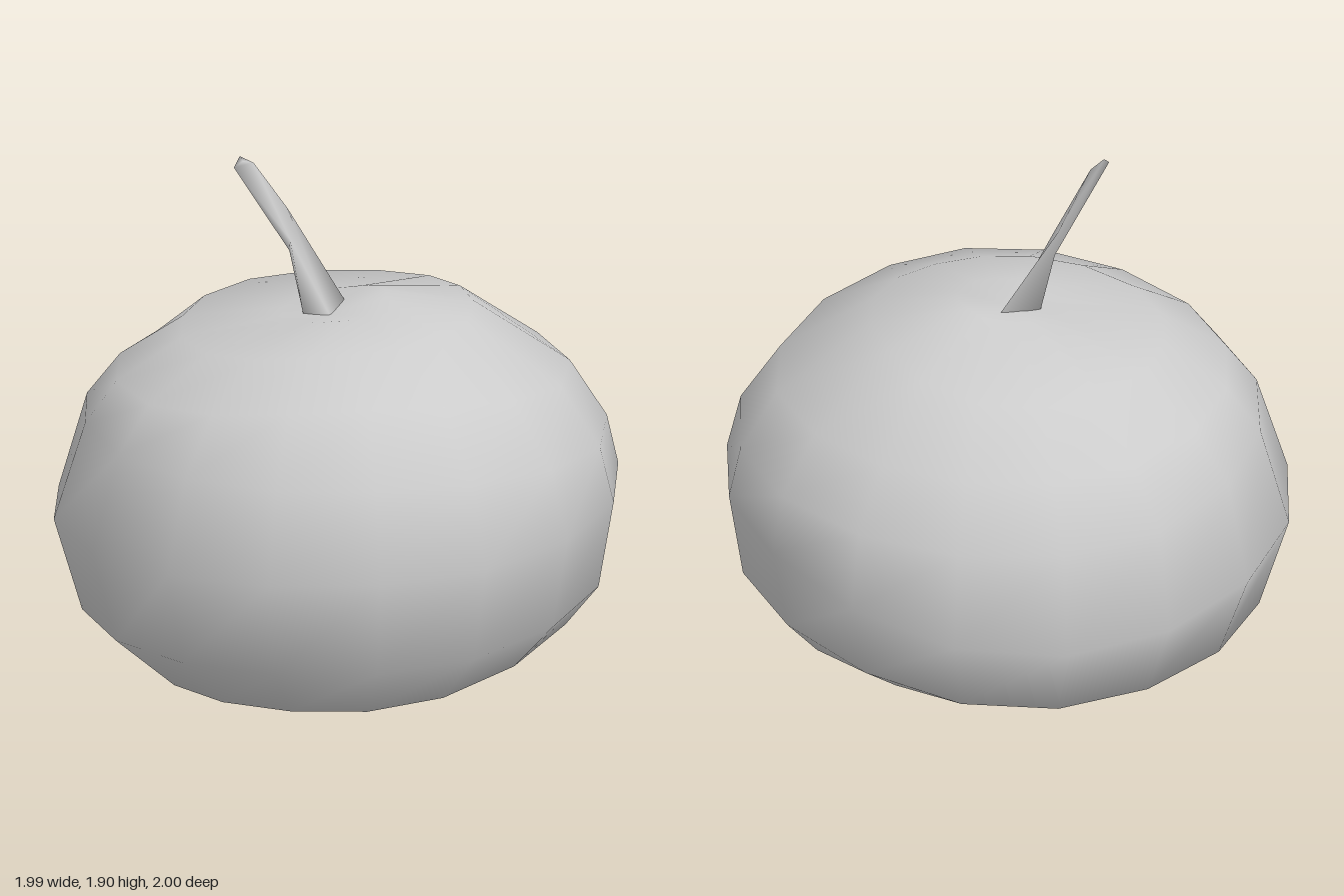
import * as THREE from 'three';

// Smooth skin over rings that run counter-clockwise seen from above, bottom to top.
function skin(rings, bottom, top) {
  const n = rings[0].length;
  const points = [...rings.flat(), bottom, top];
  const index = [];
  const last = (rings.length - 1) * n;
  const low = rings.length * n;
  for (let i = 0; i < n; i++) {
    const k = (i + 1) % n;
    for (let j = 0; j < last; j += n) {
      index.push(j + i, j + k, j + n + k, j + i, j + n + k, j + n + i);
    }
    index.push(low, k, i, low + 1, last + i, last + k);
  }
  const geometry = new THREE.BufferGeometry();
  geometry.setAttribute('position', new THREE.Float32BufferAttribute(points.flat(), 3));
  geometry.setIndex(index);
  geometry.computeVertexNormals();
  return geometry;
}

// Outline [radius, height] of the fruit in four directions, bottom to top
const outlines = {
  front: [[0.47, 0.01], [0.69, 0.08], [0.92, 0.3], [1, 0.66], [0.9, 0.97], [0.7, 1.2], [0.43, 1.31], [0.19, 1.35]],
  left: [[0.43, 0.03], [0.84, 0.25], [0.94, 0.39], [0.99, 0.7], [0.95, 0.88], [0.82, 1.09], [0.48, 1.33], [0.17, 1.385]],
  back: [[0.35, 0.01], [0.58, 0.07], [0.86, 0.2], [1, 0.48], [0.95, 0.85], [0.78, 1.05], [0.6, 1.25], [0.14, 1.35]],
  right: [[0.38, 0], [0.66, 0.05], [0.9, 0.26], [1, 0.6], [0.89, 0.95], [0.78, 1.1], [0.55, 1.25], [0.2, 1.31]],
};

// Slightly lopsided body: each ring blends the four outlines
function bodyGeometry(sides = 16) {
  const rings = outlines.front.map((_, level) =>
    Array.from({ length: sides }, (_, i) => {
      const t = (i / sides) * Math.PI * 2;
      const s = Math.sin(t), c = Math.cos(t);
      const a = (s >= 0 ? outlines.left : outlines.right)[level];
      const b = (c >= 0 ? outlines.front : outlines.back)[level];
      const r = a[0] * s * s + b[0] * c * c;
      return [r * s, a[1] * s * s + b[1] * c * c, r * c];
    }));
  return skin(rings, [0, 0.03, 0], [-0.03, 1.32, 0.03]);
}

// Three-sided stem, bent and leaning to one side
function stemGeometry() {
  const rings = [
    [[0.05, 1.31, -0.04], [-0.12, 1.31, 0], [-0.03, 1.31, 0.05]],
    [[-0.16, 1.67, -0.105], [-0.165, 1.54, -0.03], [-0.17, 1.6, 0.02]],
    [[-0.29, 1.87, -0.04], [-0.34, 1.9, -0.03], [-0.365, 1.87, 0]],
  ];
  return skin(rings, [-0.03, 1.31, 0], [-0.33, 1.885, -0.02]);
}

export function createModel() {
  const model = new THREE.Group();
  model.name = 'fruit';
  const material = new THREE.MeshStandardMaterial({ color: 0xcccccc });
  const parts = { body: bodyGeometry(), stem: stemGeometry() };
  for (const [name, geometry] of Object.entries(parts)) {
    const mesh = new THREE.Mesh(geometry, material);
    mesh.name = name;
    model.add(mesh);
  }
  return model;
}
